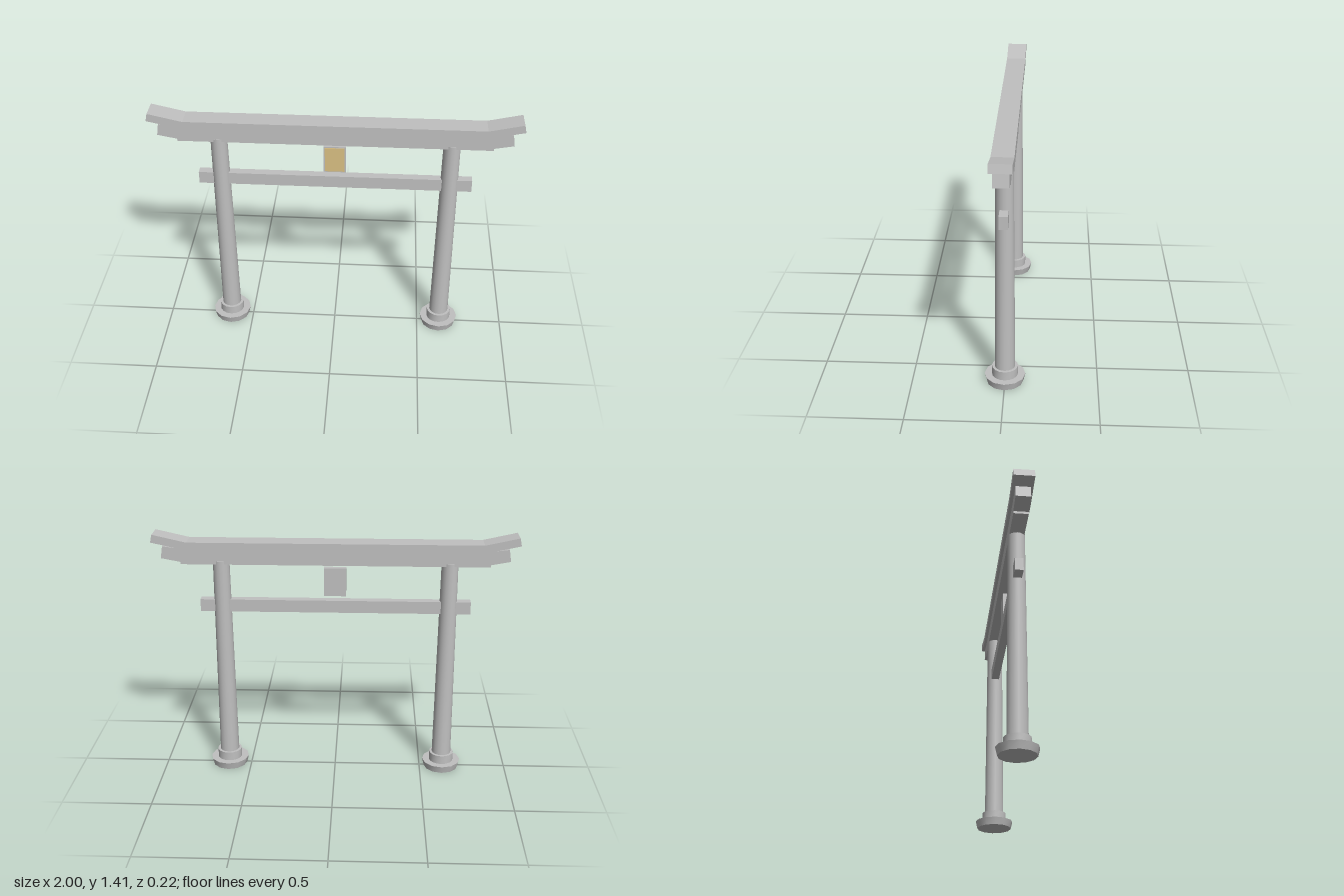
import * as THREE from 'three';
import { toCreasedNormals } from 'three/addons/utils/BufferGeometryUtils.js';

export function createModel() {
  const gate = new THREE.Group();
  gate.name = 'gate';
  const stone = new THREE.MeshStandardMaterial({ color: 0xc0c0c0 });
  stone.name = 'grey stone';
  const gold = new THREE.MeshStandardMaterial({ color: 0xdac083 });
  gold.name = 'pale gold';

  const add = (name, geometry, material, x, y, z, parent = gate) => {
    const mesh = new THREE.Mesh(geometry, material);
    mesh.name = name;
    mesh.position.set(x, y, z);
    parent.add(mesh);
    return mesh;
  };

  // Beam from a half outline (right side, bottom to top), mirrored and extruded in z
  const beam = (name, half, depth) => {
    const mirrored = half.map(([x, y]) => [-x, y]).reverse();
    const shape = new THREE.Shape([...half, ...mirrored].map(([x, y]) => new THREE.Vector2(x, y)));
    const geometry = new THREE.ExtrudeGeometry(shape, { depth, bevelEnabled: false });
    geometry.translate(0, 0, -depth / 2);
    add(name, geometry, stone, 0, 0, 0);
  };

  // Top beam with upswept ends, and the stepped beam below it
  beam('topBeam', [[0.8, 1.325], [1, 1.368], [0.99, 1.412], [0.805, 1.37]], 0.112);
  beam('underBeam', [[0.845, 1.243], [0.845, 1.256], [0.951, 1.276], [0.94, 1.343], [0.81, 1.326]], 0.08);

  // Tie beam through the columns
  add('tieBeam', new THREE.BoxGeometry(1.5, 0.07, 0.046), stone, 0, 1, 0);

  // Tapered columns on a collar and a flared foot
  const drum = (top, bottom, height, sides) =>
    toCreasedNormals(new THREE.CylinderGeometry(top, bottom, height, sides), 0.6);
  for (const [side, s] of [['left', 1], ['right', -1]]) {
    const column = new THREE.Group();
    column.name = side + 'Column';
    column.position.x = 0.627 * s;
    gate.add(column);
    add('foot', drum(0.11, 0.1, 0.042, 12), stone, 0, 0.021, 0, column);
    add('collar', drum(0.07, 0.07, 0.052, 16), stone, 0, 0.067, 0, column);
    add('shaft', drum(0.046, 0.055, 1.17, 16), stone, 0, 0.675, 0, column);
  }

  // Hanging tablet with a gold panel on its front
  add('tablet', new THREE.BoxGeometry(0.122, 0.16, 0.032), stone, 0, 1.14, 0);
  add('tabletPanel', new THREE.BoxGeometry(0.106, 0.146, 0.006), gold, 0, 1.14, 0.018);

  return gate;
}
